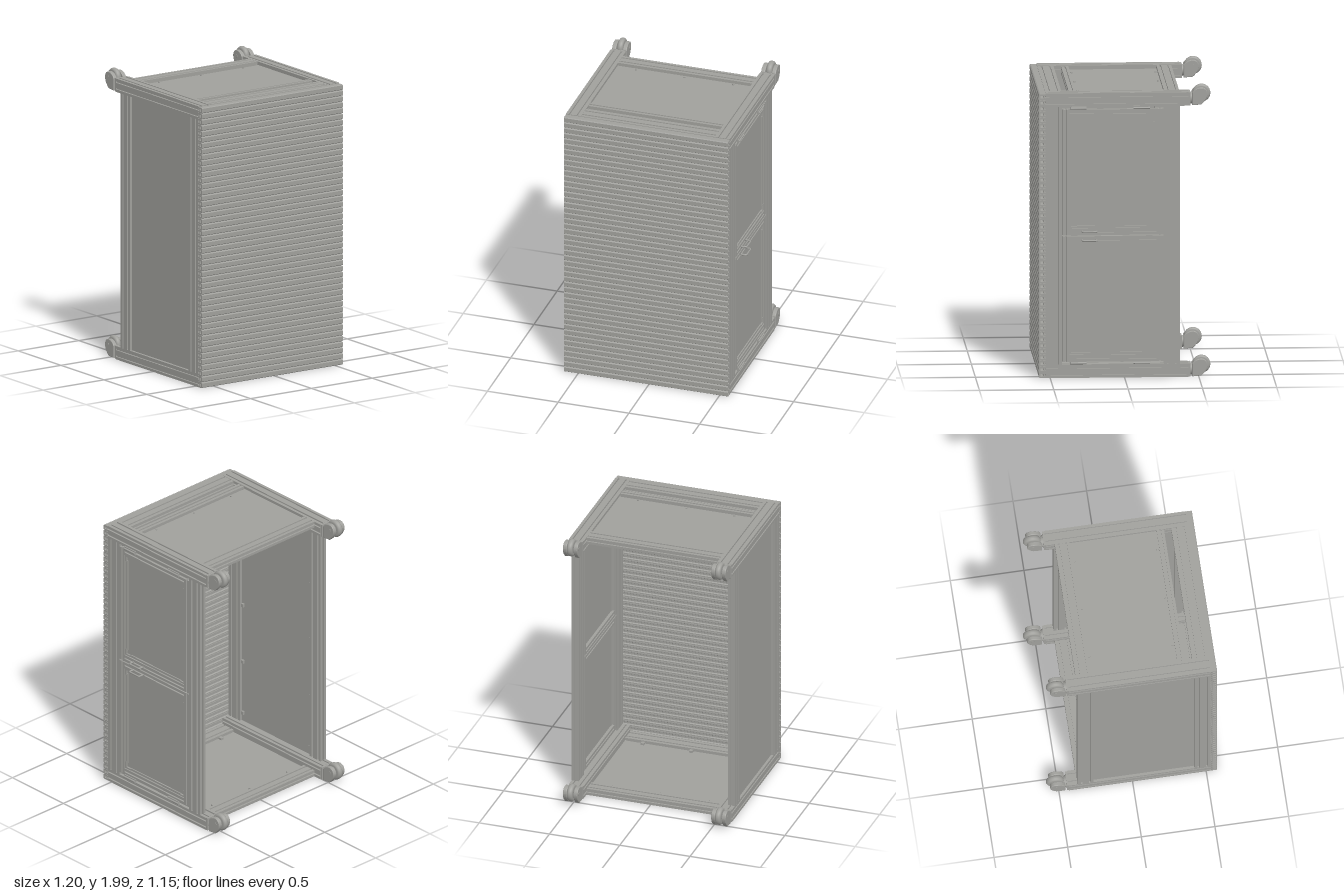
import * as THREE from 'three';

export function createModel() {
  const root = new THREE.Group();
  root.name = 'rollingCabinet';
  const grey = new THREE.MeshStandardMaterial({ color: 0xa0a09c, side: THREE.DoubleSide });
  grey.name = 'aluminium grey';

  function add(name, geo, x = 0, y = 0, z = 0, parent = root) {
    const m = new THREE.Mesh(geo, grey);
    m.name = name;
    m.position.set(x, y, z);
    parent.add(m);
    return m;
  }
  // Plain box given by its bounds
  function box(name, x0, x1, y0, y1, z0, z1, parent = root) {
    return add(name, new THREE.BoxGeometry(x1 - x0, y1 - y0, z1 - z0),
      (x0 + x1) / 2, (y0 + y1) / 2, (z0 + z1) / 2, parent);
  }
  // Rectangle with T-slot style grooves in every side
  function slotShape(w, h) {
    const pts = [];
    const slot = 0.011, depth = 0.012;
    const corners = [[-w / 2, -h / 2], [w / 2, -h / 2], [w / 2, h / 2], [-w / 2, h / 2]];
    corners.forEach(([x, y], i) => {
      const [dx, dy] = [[1, 0], [0, 1], [-1, 0], [0, -1]][i];
      const len = i % 2 ? h : w;
      const n = Math.max(1, Math.round(len / 0.05));
      const put = (t, d) => pts.push(new THREE.Vector2(x + dx * t - dy * d, y + dy * t + dx * d));
      put(0, 0);
      for (let k = 0; k < n; k++) {
        const t = (k + 0.5) / n * len;
        put(t - slot / 2, 0);
        put(t - slot / 2, depth);
        put(t + slot / 2, depth);
        put(t + slot / 2, 0);
      }
    });
    return new THREE.Shape(pts);
  }
  // Grooved profile along one axis, given by its bounds
  function bar(name, axis, x0, x1, y0, y1, z0, z1) {
    const s = [x1 - x0, y1 - y0, z1 - z0];
    const [w, h, len] = axis === 'x' ? [s[2], s[1], s[0]] : axis === 'y' ? [s[0], s[2], s[1]] : s;
    const g = new THREE.ExtrudeGeometry(slotShape(w, h), { depth: len, bevelEnabled: false });
    g.translate(0, 0, -len / 2);
    if (axis === 'x') g.rotateY(Math.PI / 2);
    if (axis === 'y') g.rotateX(-Math.PI / 2);
    return add(name, g, (x0 + x1) / 2, (y0 + y1) / 2, (z0 + z1) / 2);
  }

  const XL = -0.6, XR = 0.56;             // outer sides
  const IL = -0.493, IR = 0.455;          // inner edges of the side beams

  // Side beams, top and bottom
  for (const y of [0.01, 1.86]) {
    bar('sideBeam', 'z', XL, IL, y, y + 0.092, -0.43, 0.53);
    bar('sideBeam', 'z', IR, XR, y, y + 0.092, -0.43, 0.53);
  }
  // Corner posts
  for (const [x0, x1] of [[XL, XL + 0.05], [XR - 0.05, XR]]) {
    bar('frontPost', 'y', x0, x1, 0.1, 1.86, 0.42, 0.53);
    bar('rearPost', 'y', x0, x1, 0.1, 1.86, -0.372, -0.265);
  }
  // Cross rails
  for (const y of [0.01, 1.905]) {
    bar('frontCrossRail', 'x', IL, IR, y, y + 0.046, 0.42, 0.53);
    bar('rearCrossRail', 'x', IL, IR, y, y + 0.046, -0.372, -0.27);
  }
  bar('innerCrossRail', 'x', IL, IR, 1.9, 1.948, 0.32, 0.37);

  // Sheet panels
  box('topPanel', IL, IR, 1.918, 1.924, -0.27, 0.32);
  box('bottomPanel', IL, IR, 0.03, 0.036, -0.27, 0.42);
  box('sidePanel', -0.582, -0.576, 0.1, 1.86, -0.265, 0.42);

  // Panel clips and bolts
  const bolt = new THREE.CylinderGeometry(0.007, 0.007, 0.01, 10);
  for (const x of [-0.363, -0.02, 0.325]) {
    for (const z of [-0.258, 0.305]) add('panelBolt', bolt, x, 1.926, z);
    for (const z of [-0.258, 0.405]) box('panelBracket', x - 0.012, x + 0.012, 0.036, 0.05, z - 0.013, z + 0.013);
  }
  for (const y of [0.16, 0.55, 0.98, 1.4, 1.8])
    for (const z of [-0.255, 0.41]) box('sidePanelClip', -0.576, -0.56, y - 0.012, y + 0.012, z - 0.01, z + 0.01);

  // Pair of side doors
  for (const [y0, y1, handleY] of [[0.12, 0.975, 0.95], [0.983, 1.84, 1.01]]) {
    const a = 0.514, b = XR - 0.002;
    bar('doorStile', 'y', a, b, y0, y1, 0.37, 0.418);
    bar('doorStile', 'y', a, b, y0, y1, -0.263, -0.215);
    bar('doorRail', 'z', a, b, y0, y0 + 0.047, -0.215, 0.37);
    bar('doorRail', 'z', a, b, y1 - 0.047, y1, -0.215, 0.37);
    box('doorPanel', 0.535, 0.541, y0 + 0.047, y1 - 0.047, -0.215, 0.37);
    // Edge strips and corner clips holding the sheet
    const p0 = y0 + 0.047, p1 = y1 - 0.047;
    for (const [z0, z1] of [[0.35, 0.37], [-0.215, -0.195]]) box('panelStrip', 0.541, 0.549, p0 + 0.04, p1 - 0.04, z0, z1);
    for (const [s0, s1] of [[p0, p0 + 0.015], [p1 - 0.015, p1]]) box('panelStrip', 0.541, 0.549, s0, s1, -0.17, 0.32);
    for (const [zc, dz] of [[0.37, -1], [-0.215, 1]])
      for (const [yc, dy] of [[p0, 1], [p1, -1]]) {
        const bz = [zc, zc + dz * 0.05].sort((m, n) => m - n);
        const by = [yc, yc + dy * 0.012].sort((m, n) => m - n);
        box('cornerClip', 0.541, 0.552, by[0], by[1], bz[0], bz[1]);
        const cz = [zc, zc + dz * 0.012].sort((m, n) => m - n);
        const cy = [yc, yc + dy * 0.05].sort((m, n) => m - n);
        box('cornerClip', 0.541, 0.552, cy[0], cy[1], cz[0], cz[1]);
      }
    // Pull handle
    const path = new THREE.CurvePath();
    const P = (x, z) => new THREE.Vector3(x, handleY, z);
    path.add(new THREE.LineCurve3(P(0.55, 0.188), P(0.585, 0.188)));
    path.add(new THREE.QuadraticBezierCurve3(P(0.585, 0.188), P(0.596, 0.188), P(0.596, 0.2)));
    path.add(new THREE.LineCurve3(P(0.596, 0.2), P(0.596, 0.272)));
    path.add(new THREE.QuadraticBezierCurve3(P(0.596, 0.272), P(0.596, 0.284), P(0.585, 0.284)));
    path.add(new THREE.LineCurve3(P(0.585, 0.284), P(0.55, 0.284)));
    add('doorHandle', new THREE.TubeGeometry(path, 40, 0.006, 8));
  }
  // Door hinges
  for (const y of [0.111, 1.85])
    for (const z of [0.31, -0.115]) {
      box('hingeLeaf', 0.557, 0.566, y - 0.014, y + 0.014, z - 0.055, z + 0.055);
      const g = new THREE.CylinderGeometry(0.007, 0.007, 0.11, 12).rotateX(Math.PI / 2);
      add('hingePin', g, 0.568, y, z);
    }

  // Front slat wall: hollow slats with chamfered fronts
  const count = 48, pitch = 1.94 / count, h = pitch - 0.003;
  const slat = new THREE.Shape([[0, 0], [0.038, 0], [0.045, 0.005], [0.045, h - 0.005], [0.038, h], [0, h],
    [0, h - 0.008], [0.008, h - 0.013], [0.008, 0.013], [0, 0.008]].map(p => new THREE.Vector2(...p)));
  const hole = new THREE.Path([[0.015, 0.01], [0.015, h - 0.01], [0.036, h - 0.01], [0.036, 0.01]].map(p => new THREE.Vector2(...p)));
  slat.holes.push(hole);
  const slatGeo = new THREE.ExtrudeGeometry(slat, { depth: XR - XL, bevelEnabled: false });
  slatGeo.rotateY(-Math.PI / 2);           // profile now in z and y, length towards -x
  const wall = new THREE.Group();
  wall.name = 'slatWall';
  root.add(wall);
  for (let i = 0; i < count; i++) add('slat', slatGeo, XR, 0.01 + i * pitch, 0.53, wall);
  // Thin tongues joining neighbouring slats
  for (let i = 1; i < count; i++)
    box('slatTongue', XL, XR, 0.01 + i * pitch - 0.005, 0.01 + i * pitch + 0.002, 0.548, 0.558, wall);

  // Casters on the rear ends of the side beams
  const cheek = new THREE.Shape();         // drawn as (distance behind beam, height)
  cheek.moveTo(0.03, -0.04);
  cheek.lineTo(0.085, -0.035);
  cheek.quadraticCurveTo(0.125, 0, 0.125, 0.035);
  cheek.quadraticCurveTo(0.12, 0.072, 0.085, 0.072);
  cheek.quadraticCurveTo(0.05, 0.07, 0.03, 0.04);
  const cheekGeo = new THREE.ExtrudeGeometry(cheek, { depth: 0.02, bevelEnabled: true, bevelSize: 0.004, bevelThickness: 0.004, bevelSegments: 2 });
  cheekGeo.translate(0, 0, -0.01).rotateY(Math.PI / 2);
  const r = 0.06;
  const wheelGeo = new THREE.LatheGeometry([[0.012, -0.02], [0.045, -0.02], [0.054, -0.017], [r, -0.008],
    [r, 0.008], [0.054, 0.017], [0.045, 0.02], [0.012, 0.02]].map(p => new THREE.Vector2(...p)), 32).rotateZ(Math.PI / 2);
  for (const x of [(XL + IL) / 2, (IR + XR) / 2])
    for (const y of [0.056, 1.906]) {
      const c = new THREE.Group();
      c.name = 'caster';
      c.position.set(x, y, -0.43);
      root.add(c);
      box('mountPlate', -0.05, 0.05, -0.045, 0.045, -0.014, 0, c);
      add('swivel', new THREE.CylinderGeometry(0.036, 0.042, 0.02, 24).rotateX(-Math.PI / 2), 0, 0, -0.024, c);
      box('forkBridge', -0.044, 0.044, -0.036, 0.036, -0.04, -0.03, c);
      for (const s of [-1, 1]) add('forkCheek', cheekGeo, s * 0.038, 0, 0, c);
      add('wheel', wheelGeo, 0, 0.034, -0.09, c);
      add('axle', new THREE.CylinderGeometry(0.013, 0.013, 0.108, 16).rotateZ(Math.PI / 2), 0, 0.034, -0.09, c);
    }
  return root;
}
